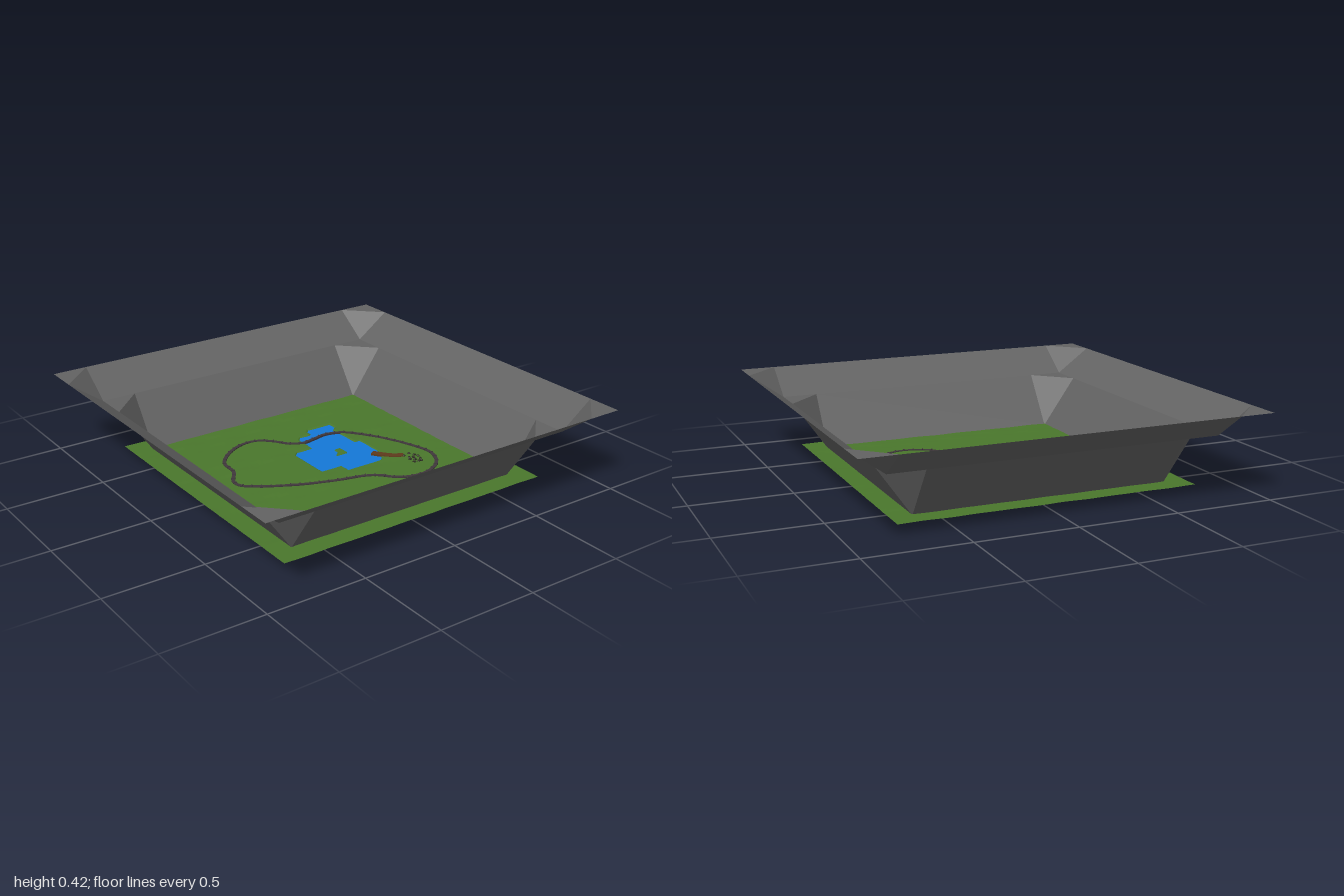
import * as THREE from 'three';

const mat = (color) => new THREE.MeshStandardMaterial({ color, side: THREE.DoubleSide, flatShading: true });
const GREY = mat(0x636363), GREEN = mat(0x4a772c), BLUE = mat(0x1478d8);
const TRACK = mat(0x40383c), BROWN = mat(0x5e3a1c), ROCK = mat(0x2c2c20);

function add(parent, name, geometry, material) {
  const mesh = new THREE.Mesh(geometry, material);
  mesh.name = name;
  parent.add(mesh);
  return mesh;
}

// Geometry from a list of triangles, each made of three [x, y, z] corners
function triangles(list) {
  const g = new THREE.BufferGeometry();
  g.setAttribute('position', new THREE.Float32BufferAttribute(list.flat(2), 3));
  g.computeVertexNormals();
  return g;
}

// One straight wall panel and one cut corner, between an inner and an outer square
function wallSide(r0, y0, r1, y1) {
  const a = [-r0, y0, r0], b = [r0, y0, r0], c = [r0, y1, r1], d = [-r0, y1, r1];
  const e = [r1, y1, r0], f = [r1, y1, r1];
  return triangles([[a, b, c], [a, c, d], [b, e, c], [e, f, c]]);
}

// Flat square sheet
function sheet(half, y) {
  return new THREE.PlaneGeometry(2 * half, 2 * half).rotateX(-Math.PI / 2).translate(0, y, 0);
}

// Lake outline as rows: [zMin, zMax, xMin, xMax]
const LAKE = [
  [-0.37, -0.33, 0.15, 0.28], [-0.33, -0.24, 0.05, 0.27], [-0.24, -0.17, 0.04, 0.26],
  [-0.17, -0.1, -0.06, 0.24], [-0.1, 0.0, -0.06, 0.3], [0.0, 0.06, -0.08, 0.29],
  [0.06, 0.1, 0.03, 0.25], [0.1, 0.135, 0.05, 0.25],
];
function inLake(x, z) {
  const island = z > -0.11 && z < 0.0 && Math.abs(x - 0.13) < 0.02 + (z + 0.11) * 0.25;
  return !island && LAKE.some(([z0, z1, x0, x1]) => z >= z0 && z < z1 && x >= x0 && x <= x1);
}

// Ground with gentle bumps and a sunken lake bed
function terrain() {
  const g = new THREE.PlaneGeometry(1.5, 1.5, 50, 50).rotateX(-Math.PI / 2);
  const p = g.attributes.position;
  for (let i = 0; i < p.count; i++) {
    const x = p.getX(i), z = p.getZ(i);
    const bump = 0.0012 * Math.sin(x * 23 + 2 * Math.sin(z * 17)) * Math.cos(z * 29 + x * 5);
    const bed = 0.002 + 0.09 * Math.hypot(x - 0.14, z + 0.04) + 0.002 * Math.sin(i * 2.3);
    p.setY(i, inLake(x, z) ? Math.max(0, Math.min(bed, 0.029)) : 0.041 + bump);
  }
  g.computeVertexNormals();
  return g;
}

// Box section swept along a level curve
function sweep(curve, n, width, y0, y1) {
  const rings = [], list = [];
  for (let i = 0; i <= n; i++) {
    const c = curve.getPointAt(i / n), t = curve.getTangentAt(i / n);
    const len = Math.hypot(t.x, t.z), sx = (-t.z / len) * width / 2, sz = (t.x / len) * width / 2;
    rings.push([[c.x - sx, y0, c.z - sz], [c.x - sx, y1, c.z - sz], [c.x + sx, y1, c.z + sz], [c.x + sx, y0, c.z + sz]]);
  }
  for (let i = 0; i < n; i++) {
    for (let k = 0; k < 4; k++) {
      const a = rings[i][k], b = rings[i][(k + 1) % 4], c = rings[i + 1][(k + 1) % 4], d = rings[i + 1][k];
      list.push([a, c, b], [a, d, c]);
    }
  }
  for (const r of [rings[0], rings[n]]) list.push([r[0], r[1], r[2]], [r[0], r[2], r[3]]);
  return triangles(list);
}

const curveThrough = (pts, closed) =>
  new THREE.CatmullRomCurve3(pts.map(([x, z]) => new THREE.Vector3(x, 0, z)), closed);

export function createModel() {
  const model = new THREE.Group();
  model.name = 'valleyTrack';

  // Two tiers of sloping walls on four sides
  const walls = new THREE.Group();
  walls.name = 'walls';
  model.add(walls);
  const lower = wallSide(0.64, 0.035, 0.82, 0.29), upper = wallSide(0.82, 0.29, 1, 0.42);
  for (let i = 0; i < 4; i++) {
    add(walls, 'lowerWall', lower, GREY).rotation.y = i * Math.PI / 2;
    add(walls, 'upperWall', upper, GREY).rotation.y = i * Math.PI / 2;
  }

  // Layered base: floor, water sheet, ground
  add(model, 'floor', sheet(0.64, 0.032), GREY);
  add(model, 'water', sheet(0.68, 0.036), BLUE);
  add(model, 'ground', terrain(), GREEN);

  // Closed track loop with low posts along it
  const loop = curveThrough([
    [-0.21, -0.42], [-0.3, -0.395], [-0.4, -0.32], [-0.44, -0.26], [-0.45, -0.16], [-0.51, -0.06],
    [-0.505, -0.01], [-0.44, 0.05], [-0.28, 0.14], [-0.1, 0.21], [0.05, 0.25], [0.12, 0.29],
    [0.17, 0.35], [0.25, 0.39], [0.35, 0.39], [0.45, 0.33], [0.5, 0.22], [0.47, 0.08],
    [0.4, -0.08], [0.33, -0.19], [0.27, -0.25], [0.19, -0.275], [0.1, -0.26], [0.03, -0.25],
    [-0.03, -0.28], [-0.09, -0.36], [-0.14, -0.405],
  ], true);
  add(model, 'track', sweep(loop, 180, 0.018, 0.037, 0.045), TRACK);
  const post = new THREE.BoxGeometry(0.02, 0.008, 0.006);
  for (let i = 0; i < 60; i++) {
    const p = loop.getPointAt(i / 60), t = loop.getTangentAt(i / 60);
    const m = add(model, 'trackPost', post, TRACK);
    m.position.set(p.x, 0.044, p.z);
    m.rotation.y = Math.atan2(t.x, t.z);
  }

  // Curved earth path leading to the lake
  const path = curveThrough([[0.25, 0.055], [0.28, 0.1], [0.32, 0.145], [0.365, 0.17]], false);
  add(model, 'path', sweep(path, 12, 0.038, 0.022, 0.045), BROWN);

  // Scattered stones beside the path
  const stone = new THREE.IcosahedronGeometry(0.01, 0);
  [[0.36, 0.18], [0.4, 0.17], [0.41, 0.2], [0.37, 0.21], [0.39, 0.22], [0.36, 0.23], [0.42, 0.22],
    [0.38, 0.245], [0.41, 0.25], [0.36, 0.265], [0.385, 0.27], [0.4, 0.27]].forEach(([x, z], i) => {
    const m = add(model, 'stone', stone, ROCK);
    m.position.set(x, 0.043, z);
    m.scale.set(1.1, 0.6, 0.8);
    m.rotation.y = i * 1.3;
  });
  return model;
}
